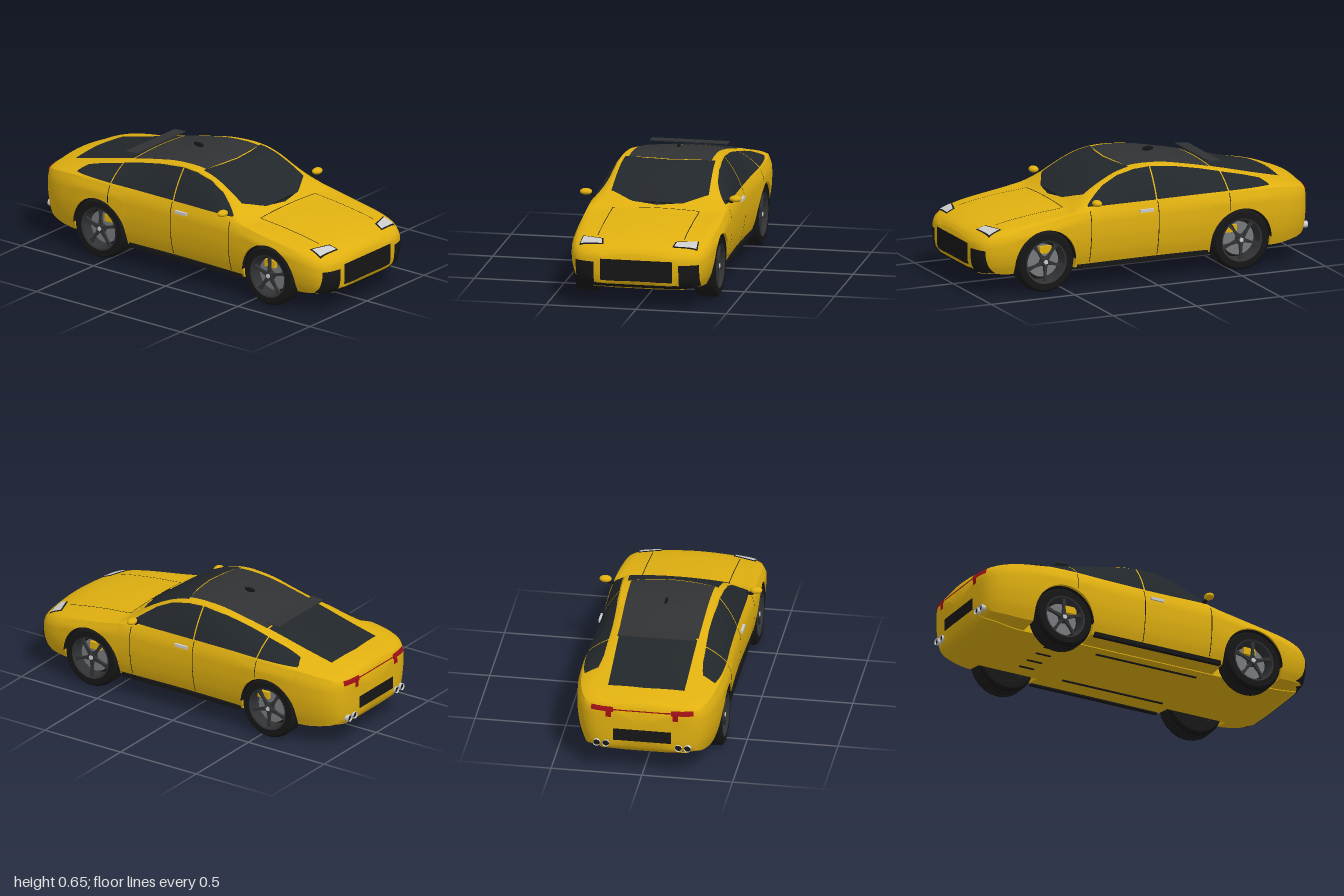
import * as THREE from 'three';
import { toCreasedNormals } from 'three/addons/utils/BufferGeometryUtils.js';

const mat = (color, side = THREE.DoubleSide) => new THREE.MeshStandardMaterial({ color, side });
const paint = mat(0xe0b010), glass = mat(0x22272b), black = mat(0x161616), trim = mat(0x303234);
const grey = mat(0xcccccc), red = mat(0xa01015), lamp = mat(0xe6e6e6), disc = mat(0x77797c);

// Smooth, non-overshooting curve through [position, value] pairs
function curve(pts) {
  const p = [...pts].sort((a, b) => a[0] - b[0]), n = p.length;
  const d = p.slice(1).map((q, i) => (q[1] - p[i][1]) / (q[0] - p[i][0]));
  const m = p.map((_, i) => i === 0 ? d[0] : i === n - 1 ? d[n - 2]
    : d[i - 1] * d[i] > 0 ? 2 * d[i - 1] * d[i] / (d[i - 1] + d[i]) : 0);
  return (x) => {
    let i = 0;
    while (i < n - 2 && x > p[i + 1][0]) i++;
    const h = p[i + 1][0] - p[i][0], t = Math.min(1, Math.max(0, (x - p[i][0]) / h)), s = 1 - t;
    return (1 + 2 * t) * s * s * p[i][1] + t * s * s * h * m[i]
      + t * t * (3 - 2 * t) * p[i + 1][1] - t * t * s * h * m[i + 1];
  };
}

// Body shape along z: half width, underside, shoulder height, top height, top edge half width
const width = curve([[1, .24], [.985, .3], [.96, .34], [.92, .367], [.85, .387], [.7, .4], [.6, .404], [.4, .4], [0, .39],
  [-.3, .396], [-.5, .406], [-.65, .403], [-.8, .387], [-.88, .367], [-.94, .336], [-.975, .295], [-.99, .25], [-.995, .2]]);
const under = curve([[1, .155], [.985, .13], [.95, .105], [.9, .097], [.8, .09], [-.75, .092], [-.9, .11], [-.96, .13], [-.985, .16], [-.995, .19]]);
const shoulder = curve([[1, .28], [.97, .3], [.9, .33], [.8, .355], [.6, .388], [.45, .417], [.35, .434], [0, .44],
  [-.6, .445], [-.75, .44], [-.9, .422], [-.97, .4], [-.995, .37]]);
const top = curve([[1, .31], [.985, .33], [.95, .35], [.9, .368], [.8, .39], [.6, .418], [.46, .432], [.42, .449], [.35, .5],
  [.25, .56], [.15, .605], [.07, .624], [0, .63], [-.1, .627], [-.3, .595], [-.5, .55], [-.7, .5], [-.85, .466], [-.93, .448], [-.98, .432], [-.995, .41]]);
const topEdge = curve([[1, .16], [.95, .25], [.85, .29], [.6, .31], [.45, .31], [.35, .295], [.2, .282], [0, .272],
  [-.4, .25], [-.7, .255], [-.85, .25], [-.95, .21], [-.995, .14]]);
const sideShape = curve([[0, .9], [.25, .965], [.6, 1], [.8, 1], [1, .95]]);

const AXLES = [.62, -.55], HUB = .17, ARCH = .18;

// Half cross-section from the floor centre round the right side to the top centre
function section(z) {
  const W = width(z), B = under(z), S = shoulder(z), T = top(z), R = topEdge(z), E = T - .015, sill = B + .025;
  const axle = AXLES.find((c) => Math.abs(z - c) <= ARCH + 1e-6);
  const open = axle !== undefined;
  const A = open ? HUB + Math.sqrt(Math.max(0, ARCH ** 2 - (z - axle) ** 2)) : sill;
  const inner = Math.min(.25, W * .7);
  const pts = [[0, B], [inner / 2, B], [inner, B + .005], [inner, open ? A : B + .01]];
  for (let i = 0; i <= 12; i++) {
    const y = A + (S - A) * i / 12;
    pts.push([W * sideShape((y - sill) / (S - sill)), y]);
  }
  for (let i = 1; i <= 8; i++) {
    const t = i / 8, bulge = .008 * Math.sin(Math.PI * t);
    pts.push([THREE.MathUtils.lerp(W * .95, R, t) + bulge, THREE.MathUtils.lerp(S, E, t) + bulge * .5]);
  }
  for (let i = 1; i <= 7; i++) pts.push([R * (1 - i / 7), E + (T - E) * (1 - (1 - i / 7) ** 2)]);
  return pts;
}

function bodyGeometry() {
  const zs = [];
  for (let i = 0; i <= 84; i++) zs.push(.0025 + .9975 * Math.sin((i / 84 - .5) * Math.PI));
  for (const c of AXLES) {
    for (let i = 0; i <= 24; i++) zs.push(c + ARCH * Math.cos(i / 24 * Math.PI));
    zs.push(c - ARCH - .0005, c + ARCH + .0005);
  }
  zs.sort((a, b) => a - b);
  const pos = [], idx = [];
  let n = 0;
  for (const z of zs) {
    const half = section(z);
    const ring = [...half, ...half.slice(1, -1).reverse().map(([x, y]) => [-x, y])];
    n = ring.length;
    ring.forEach(([x, y]) => pos.push(x, y, z));
  }
  const last = zs.length - 1, centre = zs.length * n;
  for (const z of [zs[0], zs[last]]) pos.push(0, (top(z) + under(z)) / 2, z);
  for (let j = 0; j < n; j++) {
    const k = (j + 1) % n;
    for (let i = 0; i < last; i++) {
      const a = i * n + j, b = i * n + k;
      idx.push(a, b, b + n, a, b + n, a + n);
    }
    idx.push(centre, k, j, centre + 1, last * n + j, last * n + k);
  }
  const g = new THREE.BufferGeometry();
  g.setAttribute('position', new THREE.Float32BufferAttribute(pos, 3));
  g.setIndex(idx);
  return toCreasedNormals(g, .7);
}

export function createModel() {
  const car = new THREE.Group();
  car.name = 'car';
  const add = (name, geo, material, x = 0, y = 0, z = 0, parent = car) => {
    const mesh = new THREE.Mesh(geo, material);
    mesh.name = name;
    mesh.position.set(x, y, z);
    parent.add(mesh);
    return mesh;
  };
  const box = (name, w, h, d, material, x, y, z, parent) => add(name, new THREE.BoxGeometry(w, h, d), material, x, y, z, parent);
  const both = (fn) => [1, -1].forEach(fn);
  const body = add('body', bodyGeometry(), paint);
  body.updateMatrixWorld();
  const ray = new THREE.Raycaster();

  // Panel laid on the body between two outlines; 'x' takes [z, y], 'y' takes [x, z], 'z'/'-z' take [x, y]
  function patch(name, axis, material, lineA, lineB, nu = 10, nv = 4, m = 1, lift = .004) {
    const at = (line, t) => {
      const f = t * (line.length - 1), i = Math.min(line.length - 2, Math.floor(f));
      return [0, 1].map((k) => THREE.MathUtils.lerp(line[i][k], line[i + 1][k], f - i));
    };
    const pos = [], idx = [], from = new THREE.Vector3(), dir = new THREE.Vector3();
    for (let i = 0; i <= nu; i++) for (let j = 0; j <= nv; j++) {
      const p = at(lineA, i / nu), q = at(lineB, i / nu);
      const [a, b] = [0, 1].map((k) => THREE.MathUtils.lerp(p[k], q[k], j / nv));
      const s = axis === '-z' ? -1 : 1;
      if (axis === 'x') { from.set(2 * m, b, a); dir.set(-m, 0, 0); }
      else if (axis === 'y') { from.set(a * m, 2, b); dir.set(0, -1, 0); }
      else { from.set(a * m, b, 2 * s); dir.set(0, 0, -s); }
      ray.set(from, dir);
      const hit = ray.intersectObject(body)[0];
      const v = hit ? hit.point.clone().addScaledVector(hit.face.normal, lift) : from.clone().addScaledVector(dir, 1.05);
      pos.push(v.x, v.y, v.z);
      if (i < nu && j < nv) {
        const c = i * (nv + 1) + j, d = c + nv + 1;
        idx.push(c, d, d + 1, c, d + 1, c + 1);
      }
    }
    const g = new THREE.BufferGeometry();
    g.setAttribute('position', new THREE.Float32BufferAttribute(pos, 3));
    g.setIndex(idx);
    g.computeVertexNormals();
    return add(name, g, material);
  }
  const rect = (name, axis, material, x0, x1, y0, y1, nu, nv, m, lift) =>
    patch(name, axis, material, [[x0, y0], [x1, y0]], [[x0, y1], [x1, y1]], nu, nv, m, lift);

  // Windscreen, roof and rear window
  patch('windscreen', 'y', glass, [[-.25, .065], [-.125, .095], [0, .108], [.125, .095], [.25, .065]],
    [[-.27, .345], [-.14, .41], [0, .432], [.14, .41], [.27, .345]], 16, 12);
  patch('roofPanel', 'y', trim, [[-.22, -.43], [.22, -.43]], [[-.23, .07], [-.12, .088], [0, .1], [.12, .088], [.23, .07]], 8, 12);
  patch('rearWindow', 'y', glass, [[-.215, -.44], [.215, -.44]], [[-.21, -.85], [0, -.865], [.21, -.85]], 8, 10);
  const spoiler = box('roofSpoiler', .43, .006, .075, trim, 0, .583, -.465);
  spoiler.rotation.x = -.08;
  add('antenna', new THREE.SphereGeometry(1, 16, 10), black, 0, .637, -.165).scale.set(.008, .013, .034);
  both((m) => { box('wiper', .075, .005, .008, black, m * .042, .456, .42); });

  // Both flanks: windows, seams, handle, mirror, sill
  both((m) => {
    patch('frontSideWindow', 'x', glass, [[.36, .446], [-.045, .446]],
      [[.36, .452], [.3, .497], [.24, .54], [.15, .584], [.05, .606], [-.045, .61]], 15, 5, m);
    patch('rearSideWindow', 'x', glass, [[-.053, .447], [-.47, .45]], [[-.053, .61], [-.2, .592], [-.35, .562], [-.47, .534]], 12, 5, m);
    patch('quarterWindow', 'x', glass, [[-.477, .45], [-.725, .451]], [[-.477, .532], [-.6, .504], [-.7, .478], [-.725, .458]], 9, 4, m);
    rect('doorSeamFront', 'x', black, .352, .356, .14, .425, 1, 14, m, .002);
    rect('doorSeamMiddle', 'x', black, -.056, -.052, .14, .44, 1, 14, m, .002);
    rect('doorSeamRear', 'x', black, -.478, -.474, .345, .44, 1, 8, m, .002);
    box('doorHandle', .014, .016, .08, grey, m * .391, .397, .02);
    add('mirror', new THREE.SphereGeometry(1, 20, 14), paint, m * .415, .475, .328).scale.set(.034, .018, .026);
    box('mirrorStem', .05, .012, .014, black, m * .375, .457, .32);
    box('sill', .025, .024, .78, black, m * .36, .118, .035);
    rect('bonnetSeamSide', 'y', black, .238, .242, .455, .86, 1, 14, m, .002);

    // Headlights, grilles and tail lights
    patch('headlightFrame', 'y', black, [[.19, .95], [.327, .935]], [[.2, .897], [.322, .857]], 6, 4, m, .003);
    patch('headlight', 'y', lamp, [[.2, .943], [.32, .928]], [[.207, .904], [.316, .867]], 6, 4, m, .006);
    rect('sideGrille', 'z', black, .235, .34, .13, .257, 8, 8, m);
    rect('tailLight', '-z', red, .16, .28, .377, .402, 8, 3, m, .006);
    rect('tailLightTab', '-z', red, .17, .2, .345, .377, 3, 3, m, .006);
    for (const x of [.2, .25]) {
      const pipe = add('exhaust', new THREE.CylinderGeometry(.019, .019, .09, 20, 1, true), grey, m * x, .18, -.957);
      pipe.rotation.x = Math.PI / 2;
      add('exhaustInside', new THREE.CircleGeometry(.018, 20), black, m * x, .18, -.992);
    }
    box('floorRail', .012, .006, .62, black, m * .19, .09, .06);
    for (const x of [.05, .14]) box('floorSlot', .012, .006, .09, black, m * x, .09, -.5);
  });
  rect('bonnetSeamRear', 'y', black, -.24, .24, .452, .456, 14, 1, 1, .002);
  rect('grille', 'z', black, -.2, .2, .157, .275, 10, 6);
  rect('frontSplitter', 'z', black, -.3, .3, .12, .138, 20, 2);
  rect('rearGrille', '-z', black, -.16, .16, .205, .275, 8, 4);
  rect('tailLightBar', '-z', red, -.16, .16, .386, .393, 10, 1);

  // Wheels, built with the axle along y and the outer face up
  const tyreProfile = [[.118, -.06], [.155, -.06], [.166, -.05], [.17, -.036]];
  for (const g of [-.024, 0, .024]) tyreProfile.push([.17, g - .004], [.163, g - .003], [.163, g + .003], [.17, g + .004]);
  tyreProfile.push([.17, .036], [.166, .05], [.155, .06], [.118, .06]);
  const toPts = (list) => list.map(([r, y]) => new THREE.Vector2(r, y));
  const tyreGeo = toCreasedNormals(new THREE.LatheGeometry(toPts(tyreProfile), 48), .6);
  const rimGeo = toCreasedNormals(new THREE.LatheGeometry(toPts([[.112, -.055], [.108, .03], [.112, .058], [.121, .062], [.121, .05]]), 48), .6);
  for (const c of AXLES) both((m) => {
    const wheel = new THREE.Group();
    wheel.name = c > 0 ? 'frontWheel' : 'rearWheel';
    wheel.position.set(m * .33, HUB, c);
    wheel.rotation.z = -m * Math.PI / 2;
    car.add(wheel);
    add('tyre', tyreGeo, black, 0, 0, 0, wheel);
    add('rim', rimGeo, trim, 0, 0, 0, wheel);
    add('wheelBack', new THREE.CylinderGeometry(.112, .112, .008, 32), black, 0, -.03, 0, wheel);
    add('brakeDisc', new THREE.CylinderGeometry(.092, .092, .012, 32), disc, 0, .005, 0, wheel);
    add('hub', new THREE.CylinderGeometry(.022, .03, .025, 20), trim, 0, .042, 0, wheel);
    add('hubCap', new THREE.CylinderGeometry(.014, .014, .006, 5), grey, 0, .056, 0, wheel);
    for (let i = 0; i < 5; i++) for (const s of [-1, 1]) {
      const spoke = new THREE.Group();
      spoke.rotation.y = i / 5 * Math.PI * 2 + s * .12;
      wheel.add(spoke);
      box('spoke', .092, .014, .012, trim, .066, .043, s * .008, spoke);
    }
    box('brakeCaliper', .02, .04, .07, paint, m * .35, .232, c + (c > 0 ? -.01 : .05));
    const liner = new THREE.CylinderGeometry(ARCH - .002, ARCH - .002, .135, 28, 1, true, 0, Math.PI).rotateZ(Math.PI / 2);
    add('archLiner', liner, black, m * .322, HUB, c);
    add('archInnerWall', new THREE.CircleGeometry(ARCH - .002, 28, 0, Math.PI).rotateY(Math.PI / 2), black, m * .256, HUB, c);
  });
  return car;
}
